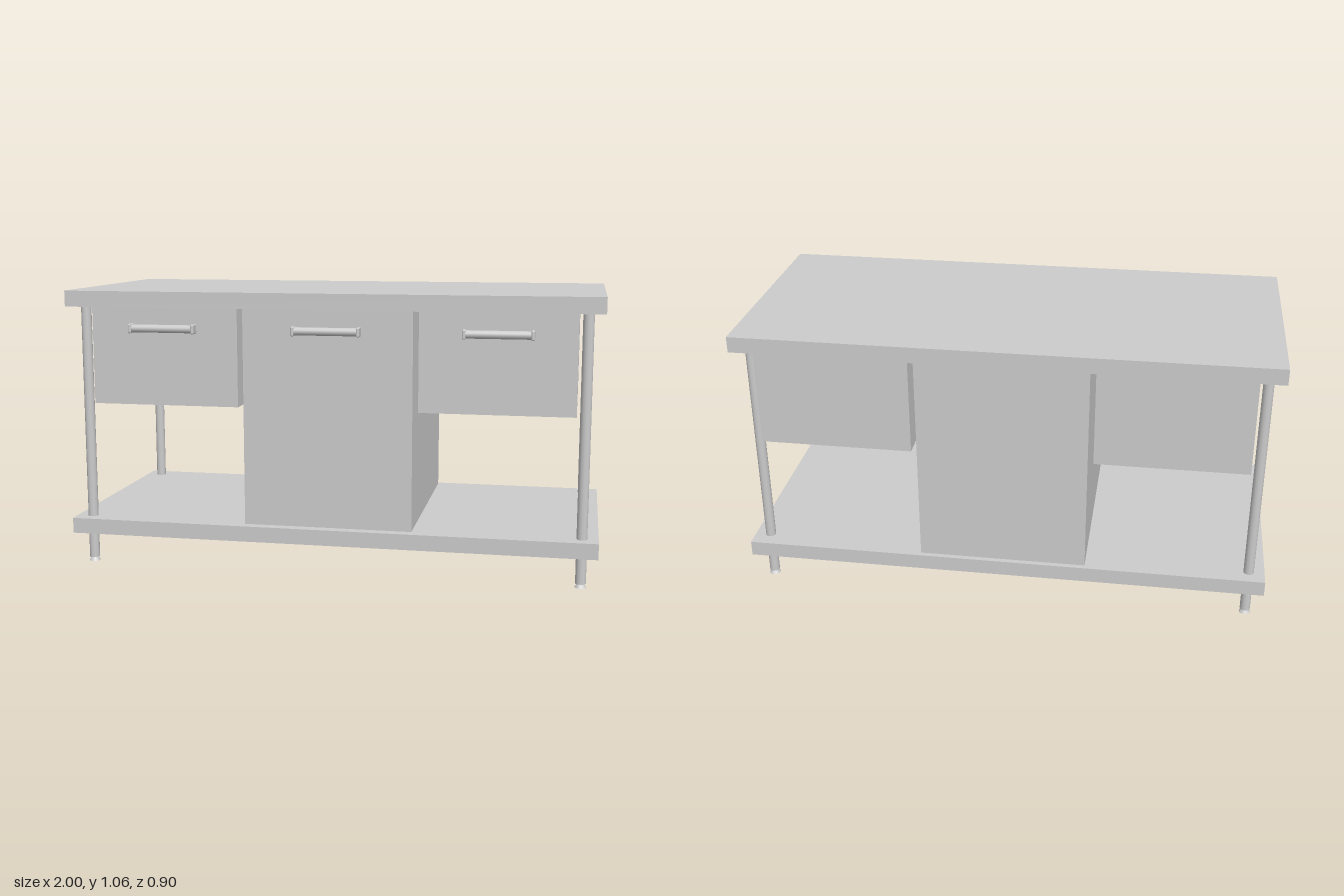
import * as THREE from 'three';
import { RoundedBoxGeometry } from 'three/addons/geometries/RoundedBoxGeometry.js';

const material = new THREE.MeshStandardMaterial({ color: 0xcccccc });

function add(parent, name, geometry, x = 0, y = 0, z = 0) {
  const mesh = new THREE.Mesh(geometry, material);
  mesh.name = name;
  mesh.position.set(x, y, z);
  parent.add(mesh);
  return mesh;
}

// Box given by its lower and upper limits on each axis
function addBox(parent, name, [x0, x1], [y0, y1], [z0, z1]) {
  return add(parent, name, new THREE.BoxGeometry(x1 - x0, y1 - y0, z1 - z0),
    (x0 + x1) / 2, (y0 + y1) / 2, (z0 + z1) / 2);
}

// Sheet-metal shelf: thin plate with a folded rim, open underneath
function createShelf() {
  const shelf = new THREE.Group();
  shelf.name = 'lowerShelf';
  const t = 0.004, bottom = 0.122, top = 0.181;
  addBox(shelf, 'shelfPlate', [-1, 1], [top - t, top], [-0.45, 0.45]);
  for (const s of [-1, 1]) {
    add(shelf, 'shelfLongRim', new THREE.BoxGeometry(2, top - t - bottom, t),
      0, (top - t + bottom) / 2, s * (0.45 - t / 2));
    add(shelf, 'shelfEndRim', new THREE.BoxGeometry(t, top - t - bottom, 0.9 - 2 * t),
      s * (1 - t / 2), (top - t + bottom) / 2, 0);
  }
  return shelf;
}

// Tubular leg on a small flared levelling foot
function createLeg(name, x, z) {
  const leg = new THREE.Group();
  leg.name = name;
  leg.position.set(x, 0, z);
  add(leg, 'legTube', new THREE.CylinderGeometry(0.0195, 0.0195, 0.985, 12), 0, 0.5075, 0);
  add(leg, 'levellingFoot', new THREE.CylinderGeometry(0.012, 0.022, 0.015, 12), 0, 0.0075, 0);
  return leg;
}

// Round bar held between two rounded end brackets
function createHandle(x) {
  const handle = new THREE.Group();
  handle.name = 'handle';
  handle.position.set(x, 0.921, 0.41);
  const bar = add(handle, 'handleBar', new THREE.CylinderGeometry(0.015, 0.015, 0.24, 16), 0, 0, 0.023);
  bar.rotation.z = Math.PI / 2;
  for (const side of [-1, 1]) {
    add(handle, 'handleBracket', new RoundedBoxGeometry(0.012, 0.036, 0.043, 2, 0.005),
      side * 0.122, 0, 0.0185);
  }
  return handle;
}

export function createModel() {
  const table = new THREE.Group();
  table.name = 'workTable';
  const unitDepth = [-0.43, 0.41];

  // Worktop and lower shelf
  addBox(table, 'worktop', [-1, 1], [1.0, 1.06], [-0.45, 0.45]);
  table.add(createShelf());

  // Central cabinet with a drawer unit on each side
  addBox(table, 'cabinet', [-0.319, 0.319], [0.181, 1.0], unitDepth);
  addBox(table, 'rightDrawer', [-0.908, -0.34], [0.629, 1.0], unitDepth);
  addBox(table, 'leftDrawer', [0.34, 0.908], [0.629, 1.0], unitDepth);
  for (const x of [-0.625, 0, 0.627]) table.add(createHandle(x));

  // Four legs
  table.add(
    createLeg('frontRightLeg', -0.94, 0.39),
    createLeg('frontLeftLeg', 0.94, 0.39),
    createLeg('backRightLeg', -0.94, -0.387),
    createLeg('backLeftLeg', 0.94, -0.381),
  );
  return table;
}
